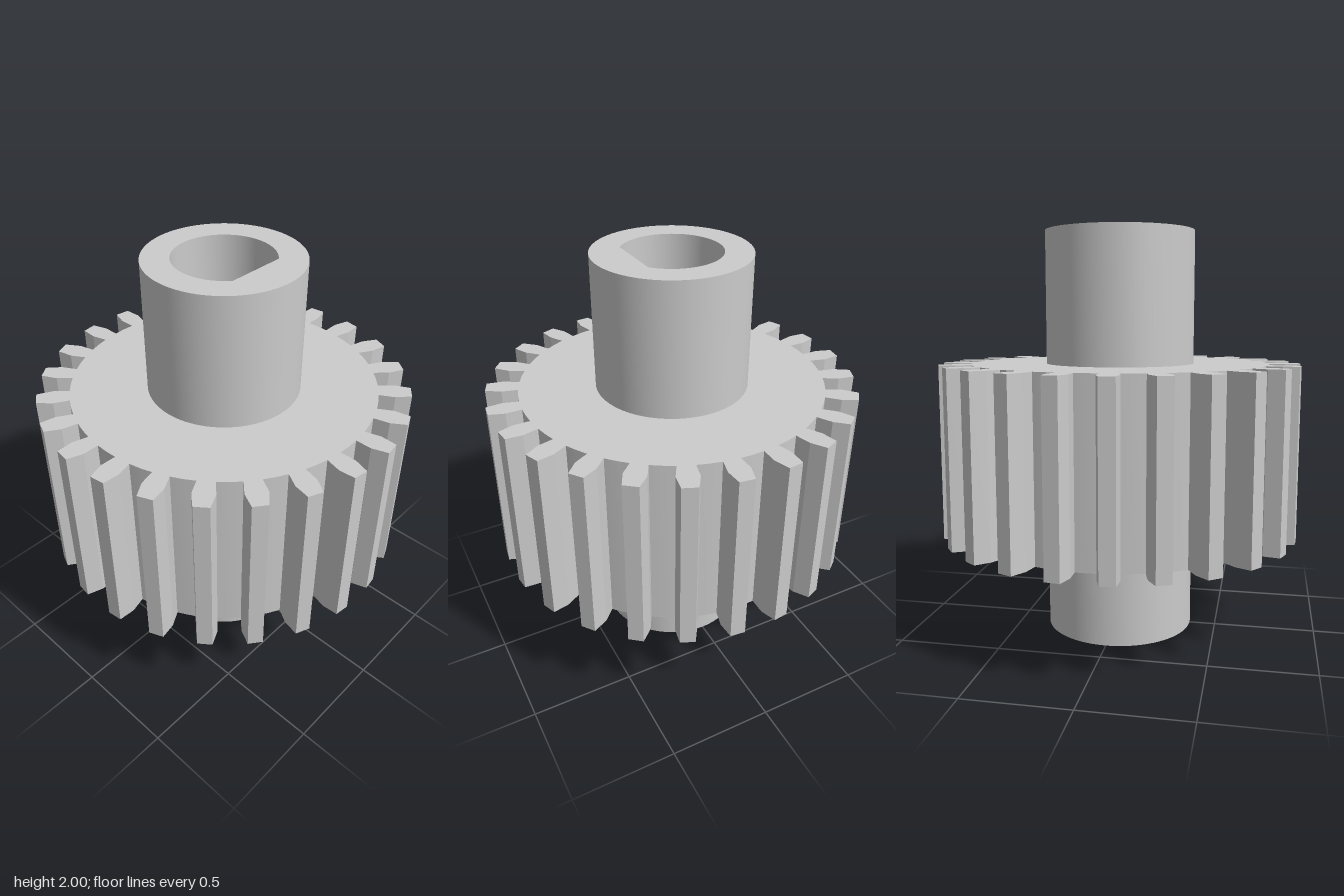
import * as THREE from 'three';
import { toCreasedNormals } from 'three/addons/utils/BufferGeometryUtils.js';

const TEETH = 24;
const HUB_R = 0.37, BORE_R = 0.237, BORE_FLAT = 0.187;
const GEAR_BOTTOM = 0.49, GEAR_TOP = 1.35, TOP = 2;

// D-shaped hole whose flat lies toward +z
function borePath() {
  const a = Math.asin(BORE_FLAT / BORE_R);
  const path = new THREE.Path();
  path.absarc(0, 0, BORE_R, -a, Math.PI + a, false);
  path.closePath();
  return path;
}

function hubShape() {
  const shape = new THREE.Shape();
  shape.absarc(0, 0, HUB_R, 0, Math.PI * 2, false);
  return shape;
}

// Toothed outline: each tooth swells above the root and tapers to the tip
function gearShape() {
  const flank = [[0.742, 0.04], [0.82, 0.051], [0.898, 0.036]]; // radius, half width
  const pitch = (Math.PI * 2) / TEETH;
  const points = [];
  const add = (r, a) => points.push(new THREE.Vector2(r * Math.cos(a), r * Math.sin(a)));
  for (let i = 0; i < TEETH; i++) {
    const mid = (i + 0.5) * pitch;
    flank.forEach(([r, w]) => add(r, mid - Math.asin(w / r)));
    [...flank].reverse().forEach(([r, w]) => add(r, mid + Math.asin(w / r)));
    add(flank[0][0], mid + pitch / 2); // middle of the root gap
  }
  return new THREE.Shape(points);
}

export function createModel() {
  const group = new THREE.Group();
  const material = new THREE.MeshStandardMaterial({ color: 0xcccccc });

  // Extrude a plan outline upward between two heights
  function addPart(name, shape, y0, y1, bored) {
    if (bored) shape.holes.push(borePath());
    let geometry = new THREE.ExtrudeGeometry(shape, {
      depth: y1 - y0, bevelEnabled: false, curveSegments: 48,
    });
    geometry.rotateX(-Math.PI / 2);
    geometry.translate(0, y0, 0);
    geometry = toCreasedNormals(geometry, 0.2);
    const mesh = new THREE.Mesh(geometry, material);
    mesh.name = name;
    group.add(mesh);
  }

  // The solid lower hub also closes the bottom of the bore
  addPart('lowerHub', hubShape(), 0, GEAR_BOTTOM, false);
  addPart('gearWheel', gearShape(), GEAR_BOTTOM, GEAR_TOP, true);
  addPart('upperHub', hubShape(), GEAR_TOP, TOP, true);

  return group;
}
